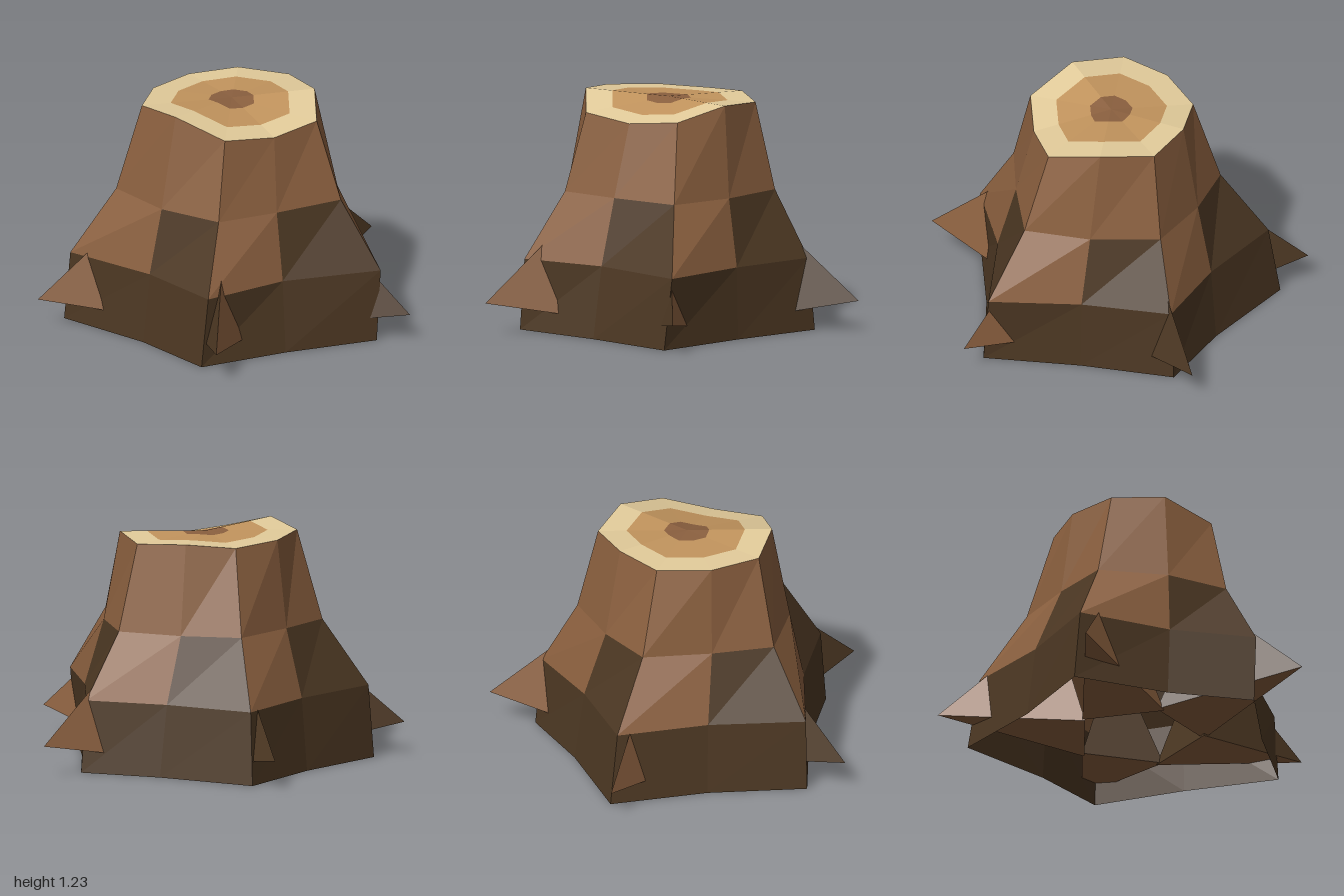
import * as THREE from 'three';

const mat = (name, color) => {
  const m = new THREE.MeshStandardMaterial({ color, side: THREE.DoubleSide });
  m.name = name;
  return m;
};

// Cross-sections, from the back clockwise as seen from above; even corners are root ridges.
const base = [[0.015, 0, -0.725], [0.41, 0, -0.42], [0.84, 0, -0.14], [0.61, 0, 0.31], [0.43, 0, 0.76],
  [-0.03, 0, 0.72], [-0.555, 0, 0.765], [-0.655, 0, 0.25], [-0.83, 0, -0.24], [-0.345, 0, -0.48]];
const flare = [[0.015, 0.38, -0.69], [0.4, 0.38, -0.41], [0.83, 0.38, -0.18], [0.56, 0.38, 0.28], [0.45, 0.38, 0.73],
  [-0.01, 0.38, 0.69], [-0.52, 0.38, 0.755], [-0.61, 0.38, 0.25], [-0.775, 0.38, -0.21], [-0.34, 0.38, -0.43]];
const waist = [[-0.015, 0.73, -0.5], [0.32, 0.73, -0.345], [0.595, 0.73, -0.125], [0.475, 0.73, 0.235], [0.345, 0.73, 0.54],
  [0.005, 0.73, 0.615], [-0.365, 0.73, 0.57], [-0.47, 0.73, 0.255], [-0.55, 0.73, -0.1], [-0.315, 0.73, -0.32]];
const rim = [[-0.03, 1.185, -0.39], [0.24, 1.205, -0.3], [0.445, 1.14, -0.1], [0.4, 1.115, 0.175], [0.295, 1.145, 0.44],
  [0.015, 1.225, 0.52], [-0.265, 1.2, 0.48], [-0.405, 1.19, 0.245], [-0.42, 1.18, -0.04], [-0.265, 1.2, -0.25]];
const heart = [0, 1.2, 0.075];

// Flat-faced mesh from a list of triangle corners
function build(name, points, material) {
  const g = new THREE.BufferGeometry();
  g.setAttribute('position', new THREE.Float32BufferAttribute(points.flat(), 3));
  g.computeVertexNormals();
  const mesh = new THREE.Mesh(g, material);
  mesh.name = name;
  return mesh;
}

// Faceted band of quads between two rings; keep chooses which sides are built
function band(lower, upper, keep = () => true) {
  const points = [];
  lower.forEach((a, i) => {
    if (!keep(i)) return;
    const j = (i + 1) % lower.length;
    points.push(lower[j], a, upper[i], lower[j], upper[i], upper[j]);
  });
  return points;
}

// The rim scaled towards the heart of the cut
const shrink = (t) => rim.map((p) => p.map((v, k) => heart[k] + (v - heart[k]) * t));

// Three-sided spike running from its tip into the trunk, with one dark side
function spike(name, tip, light, dark) {
  const yaw = Math.atan2(heart[2] - tip[2], heart[0] - tip[0]);
  const corner = (turn, reach, rise) => [
    tip[0] + Math.cos(yaw + turn) * reach, tip[1] + rise, tip[2] + Math.sin(yaw + turn) * reach];
  const top = corner(0, 0.61, 0.54), right = corner(0.28, 0.8, -0.13), left = corner(-0.28, 0.8, -0.13);
  const root = new THREE.Group();
  root.name = name;
  root.add(build(name + 'Light', [tip, right, top, tip, left, right], light));
  root.add(build(name + 'Dark', [tip, top, left, top, right, left], dark));
  return root;
}

export function createModel() {
  const group = new THREE.Group();
  group.name = 'treeStump';
  const bark = mat('bark', 0x8b603f);
  const darkBark = mat('darkBark', 0x4d3823);
  const paleWood = mat('paleWood', 0xe2cb9a);
  const ringWood = mat('ringWood', 0xc2945d);

  // Trunk: dark foot, alternating middle band, light upper part
  group.add(build('lowerBark', band(base, flare), darkBark));
  group.add(build('darkBarkPatches', band(flare, waist, (i) => i % 2 === 0), darkBark));
  group.add(build('lightBarkPatches', band(flare, waist, (i) => i % 2 === 1), bark));
  group.add(build('upperBark', band(waist, rim), bark));

  // Cut face: three growth rings
  const outer = shrink(0.68), inner = shrink(0.26);
  group.add(build('outerRing', band(rim, outer), paleWood));
  group.add(build('middleRing', band(outer, inner), ringWood));
  group.add(build('heartwood', inner.flatMap((p, i) => [heart, inner[(i + 1) % 10], p]), bark));

  // Root spikes, each aimed at the heart of the trunk
  const tips = {
    backRoot: [0.02, 0.165, -0.965],
    leftRoot: [0.995, 0.16, -0.23],
    rightRoot: [-1, 0.155, -0.22],
    frontRightRoot: [-0.555, 0.165, 0.965],
    frontLeftRoot: [0.655, 0.17, 0.885],
  };
  for (const [name, tip] of Object.entries(tips)) group.add(spike(name, tip, bark, darkBark));
  return group;
}
